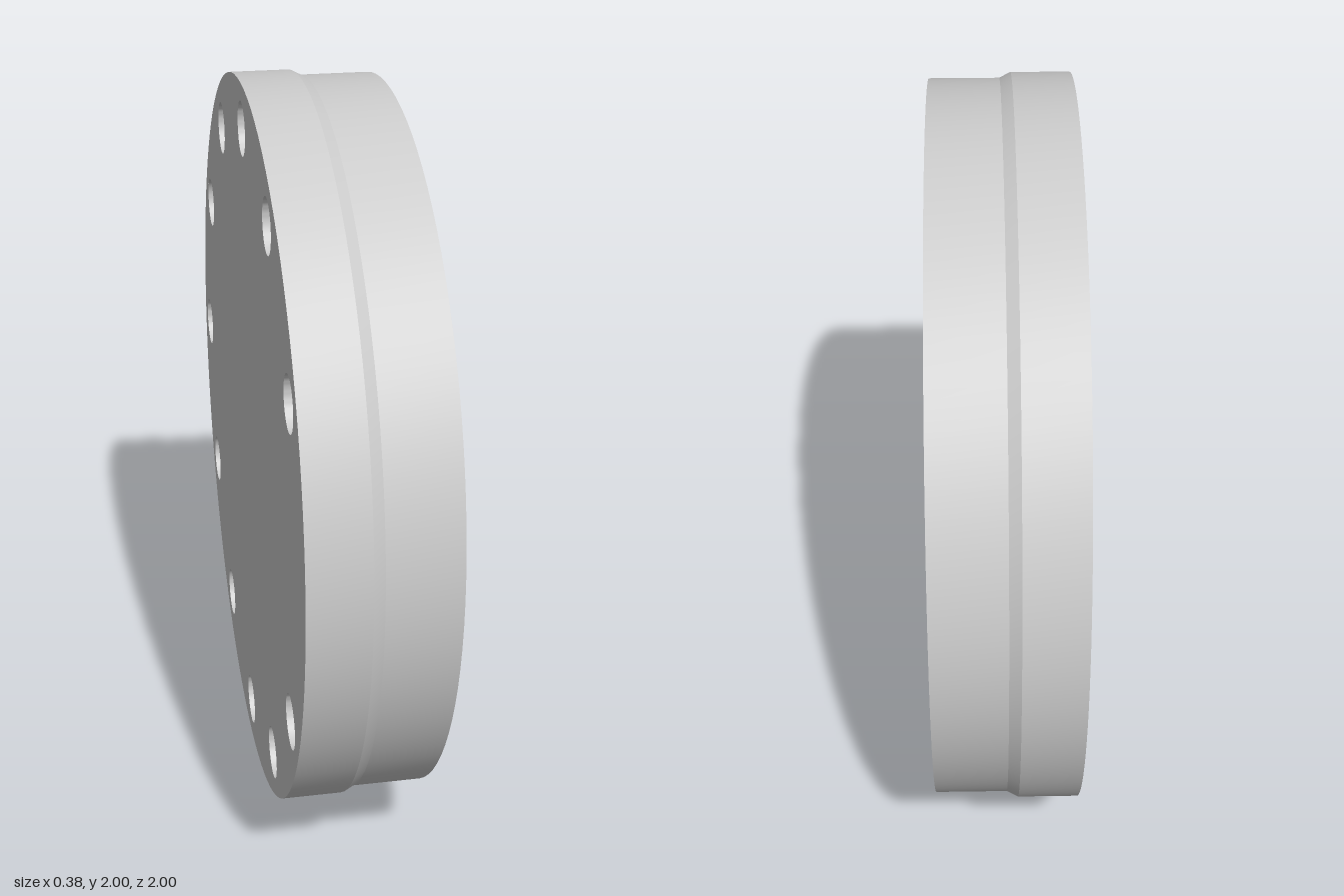
import * as THREE from 'three';
import { toCreasedNormals } from 'three/addons/utils/BufferGeometryUtils.js';

const FRONT = 0.19, BACK = -0.19;          // flange faces along its axis
const R_BACK = 1, R_FRONT = 0.985;         // stepped rim radii
const BOLT_R = 0.88, HOLE_R = 0.072;       // bolt circle and hole radius
const RECESS_R = 0.564, LOBE_R = 0.14, LOBE_D = 0.464;
const FLOOR = FRONT - 0.09, POCKET = FRONT - 0.105;

const circle = (x, y, r) => new THREE.Shape().absarc(x, y, r, 0, Math.PI * 2);

// Recess outline with three lobes; cut = true follows the inner side of each lobe circle
function recessOutline(cut) {
  const a = (RECESS_R ** 2 - LOBE_R ** 2 + LOBE_D ** 2) / (2 * LOBE_D);
  const h = Math.sqrt(RECESS_R ** 2 - a * a);
  const delta = Math.atan2(h, a), lobe = Math.atan2(h, a - LOBE_D);
  const s = new THREE.Shape();
  for (let k = 0; k < 3; k++) {
    const A = -Math.PI / 2 + k * Math.PI * 2 / 3;
    s.absarc(Math.cos(A) * LOBE_D, Math.sin(A) * LOBE_D, LOBE_R, A - lobe, A + lobe, cut);
    s.absarc(0, 0, RECESS_R, A + delta, A + Math.PI * 2 / 3 - delta);
  }
  return s;
}

// Inward-facing wall along a closed counter-clockwise outline
function wall(path, z0, z1, div) {
  const p = path.getPoints(div), v = [];
  for (let i = 0; i < p.length - 1; i++) {
    const a = p[i], b = p[i + 1];
    v.push(a.x, a.y, z0, b.x, b.y, z1, b.x, b.y, z0);
    v.push(a.x, a.y, z0, a.x, a.y, z1, b.x, b.y, z1);
  }
  const g = new THREE.BufferGeometry();
  g.setAttribute('position', new THREE.Float32BufferAttribute(v, 3));
  return toCreasedNormals(g, 0.5);
}

// Surface of revolution about the flange axis, profile as [radius, depth]
function turned(profile, segments) {
  const pts = profile.map(([r, z]) => new THREE.Vector2(r, z));
  return toCreasedNormals(new THREE.LatheGeometry(pts, segments).rotateX(Math.PI / 2), 0.4);
}

export function createModel() {
  const model = new THREE.Group();
  model.name = 'flange';
  const flange = new THREE.Group();
  flange.name = 'flangeBody';
  flange.rotation.y = Math.PI / 2;         // local +z becomes +x
  flange.position.y = 1;
  model.add(flange);
  const material = new THREE.MeshStandardMaterial({ color: 0xcccccc });
  const add = (name, geometry) => {
    const m = new THREE.Mesh(geometry, material);
    m.name = name;
    flange.add(m);
    return m;
  };

  // Stepped rim with a chamfer between the two radii
  add('rim', turned([[R_BACK, BACK], [R_BACK, -0.03], [R_FRONT, 0], [R_FRONT, FRONT]], 96));

  // Flat faces and bolt holes; the hole at half a turn is blind
  const frontFace = circle(0, 0, R_FRONT), backFace = circle(0, 0, R_BACK);
  for (let i = 0; i < 12; i++) {
    const t = i * Math.PI / 6, x = Math.cos(t) * BOLT_R, y = Math.sin(t) * BOLT_R;
    const hole = circle(x, y, HOLE_R);
    frontFace.holes.push(hole);
    if (i === 6) {
      add('blindHole', turned([[HOLE_R, FRONT], [HOLE_R, -0.06], [0, -0.1]], 32))
        .position.set(x, y, 0);
    } else {
      backFace.holes.push(hole);
      add('boltHole', wall(hole, BACK, FRONT, 32));
    }
  }
  frontFace.holes.push(recessOutline(false));
  add('frontFace', new THREE.ShapeGeometry(frontFace, 48).translate(0, 0, FRONT));
  // Mirror the back shape by turning it over (the y axis is symmetric)
  const back = new THREE.ShapeGeometry(backFace, 48);
  const idx = back.index.array;
  for (let i = 0; i < idx.length; i += 3) [idx[i], idx[i + 1]] = [idx[i + 1], idx[i]];
  back.computeVertexNormals();
  add('backFace', back.translate(0, 0, BACK));

  // Lobed recess with three shallow round pockets in its floor
  add('recessWall', wall(recessOutline(false), FLOOR, FRONT, 32));
  add('recessFloor', new THREE.ShapeGeometry(recessOutline(true), 32).translate(0, 0, FLOOR));
  for (let k = 0; k < 3; k++) {
    const A = -Math.PI / 2 + k * Math.PI * 2 / 3;
    const pocket = circle(Math.cos(A) * LOBE_D, Math.sin(A) * LOBE_D, LOBE_R);
    add('pocketWall', wall(pocket, POCKET, FLOOR, 48));
    add('pocketFloor', new THREE.ShapeGeometry(pocket, 48).translate(0, 0, POCKET));
  }
  return model;
}
